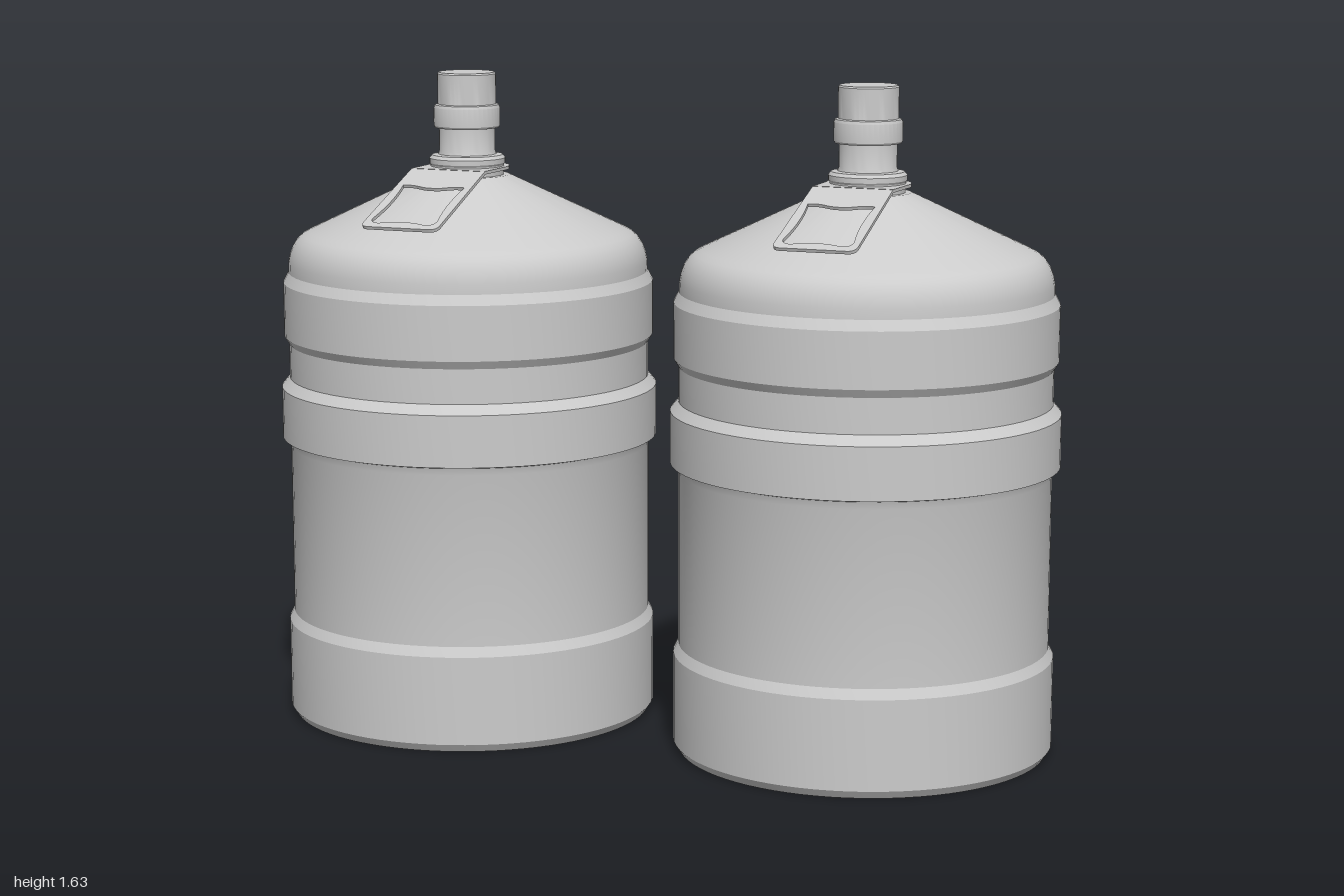
import * as THREE from 'three';
import { toCreasedNormals } from 'three/addons/utils/BufferGeometryUtils.js';

const material = new THREE.MeshStandardMaterial({ color: 0xcccccc });

function named(name, geometry) {
  const mesh = new THREE.Mesh(toCreasedNormals(geometry, 0.42), material);
  mesh.name = name;
  return mesh;
}

// Profile of [radius, height] pairs turned around the y axis
function turned(name, profile, segments) {
  const points = profile.map(([r, y]) => new THREE.Vector2(r, y));
  return named(name, new THREE.LatheGeometry(points, segments));
}

// Flat sheet drawn in (x, z), laid down and tilted towards the front
function sheet(name, shape, thickness, tilt, y, z) {
  const geometry = new THREE.ExtrudeGeometry(shape, { depth: thickness, bevelEnabled: false, curveSegments: 24 });
  geometry.rotateX(Math.PI / 2 + tilt);
  geometry.translate(0, y, z);
  return named(name, geometry);
}

function createBottle() {
  const bottle = new THREE.Group();

  // Ribbed body with rounded shoulder and conical top
  bottle.add(turned('body', [
    [0, 0], [0.452, 0], [0.465, 0.02], [0.465, 0.24], [0.453, 0.264],
    [0.453, 0.69], [0.458, 0.708], [0.473, 0.712], [0.473, 0.84], [0.453, 0.864],
    [0.453, 0.95], [0.465, 0.97], [0.465, 1.105], [0.452, 1.13],
    [0.451, 1.155], [0.447, 1.175], [0.44, 1.193], [0.429, 1.21],
    [0.415, 1.222], [0.398, 1.231], [0.105, 1.37], [0, 1.37],
  ], 80));

  // Neck with a stepped collar at its foot
  bottle.add(turned('neck', [
    [0.09, 1.36], [0.092, 1.395], [0.095, 1.4], [0.095, 1.412], [0.088, 1.42],
    [0.073, 1.422], [0.07, 1.43], [0.07, 1.5],
  ], 40));

  // Cap with a wider band
  bottle.add(turned('cap', [
    [0.07, 1.488], [0.08, 1.488], [0.083, 1.493], [0.083, 1.538], [0.08, 1.545],
    [0.073, 1.547], [0.073, 1.622], [0.07, 1.626], [0, 1.626],
  ], 40));

  // Handle collar: round behind the neck, straight at the front
  const collar = new THREE.Shape();
  collar.moveTo(0.1, 0.115);
  collar.lineTo(-0.1, 0.115);
  collar.lineTo(-0.1, 0);
  collar.absarc(0, 0, 0.105, Math.PI, Math.PI * 2, false);
  collar.closePath();
  const opening = new THREE.Path();
  opening.absarc(0, 0, 0.085, 0, Math.PI * 2, true);
  collar.holes.push(opening);

  // Sloping flap with a wavy grip opening
  const flap = new THREE.Shape();
  flap.moveTo(-0.1, 0);
  flap.lineTo(0.1, 0);
  flap.lineTo(0.102, 0.285);
  flap.quadraticCurveTo(0.102, 0.308, 0.08, 0.308);
  flap.lineTo(-0.08, 0.308);
  flap.quadraticCurveTo(-0.102, 0.308, -0.102, 0.285);
  flap.closePath();
  const grip = new THREE.Path();
  grip.moveTo(-0.083, 0.09);
  grip.bezierCurveTo(-0.04, 0.085, -0.04, 0.1, 0, 0.1);
  grip.bezierCurveTo(0.04, 0.1, 0.04, 0.085, 0.083, 0.09);
  grip.quadraticCurveTo(0.07, 0.18, 0.086, 0.265);
  grip.quadraticCurveTo(0.085, 0.288, 0.06, 0.287);
  grip.quadraticCurveTo(0, 0.268, -0.06, 0.287);
  grip.quadraticCurveTo(-0.085, 0.288, -0.086, 0.265);
  grip.quadraticCurveTo(-0.07, 0.18, -0.083, 0.09);
  flap.holes.push(grip);

  const handle = new THREE.Group();
  handle.name = 'handle';
  handle.add(
    sheet('handleCollar', collar, 0.008, 0, 1.392, 0),
    sheet('handleFlap', flap, 0.008, 0.37, 1.392, 0.113),
  );
  bottle.add(handle);
  return bottle;
}

export function createModel() {
  const model = new THREE.Group();
  model.name = 'waterBottles';
  for (const [name, x] of [['leftBottle', 0.527], ['rightBottle', -0.527]]) {
    const bottle = createBottle();
    bottle.name = name;
    bottle.position.x = x;
    model.add(bottle);
  }
  return model;
}
